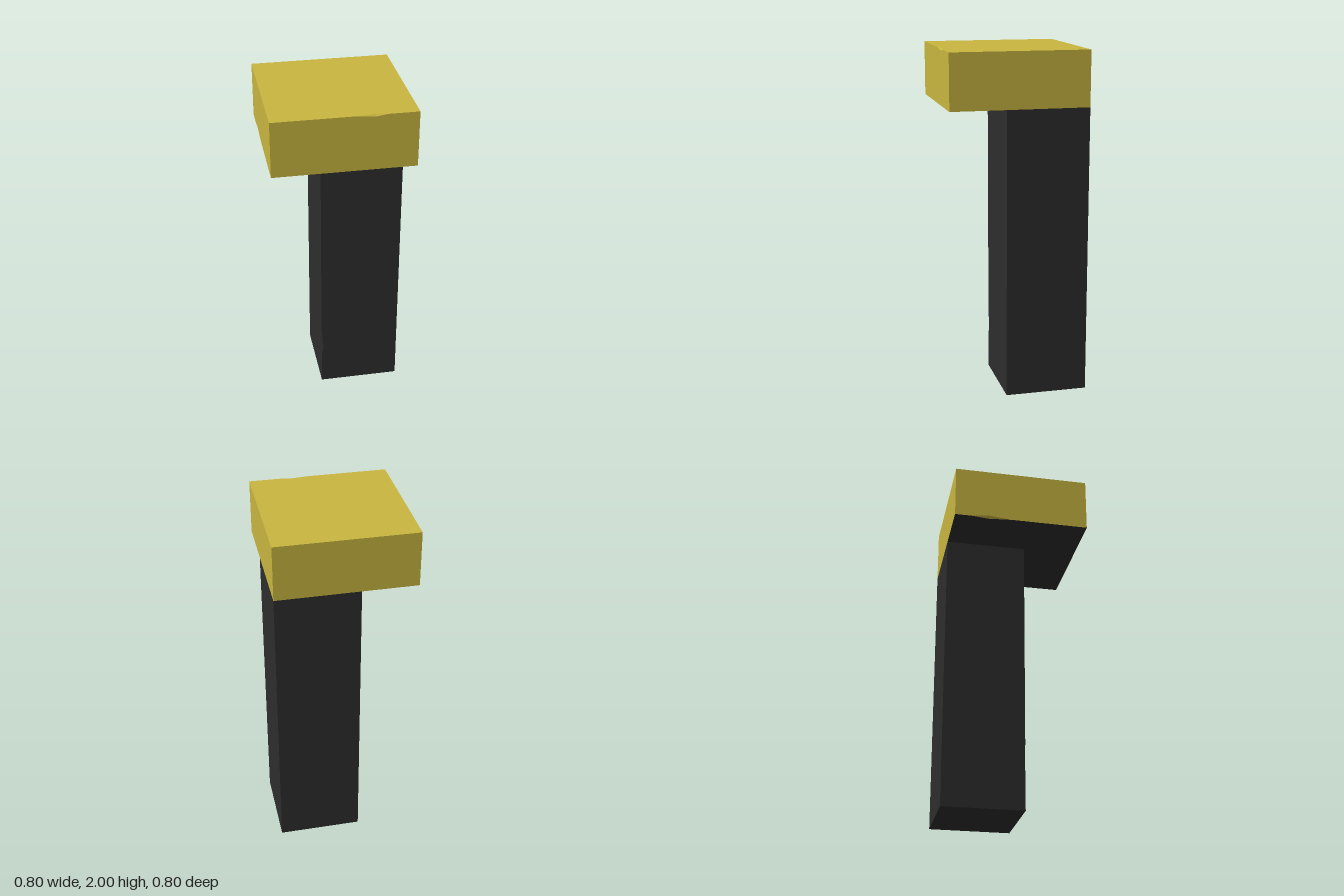
import * as THREE from 'three';

const yellow = new THREE.MeshStandardMaterial({ name: 'mustard yellow', color: 0xc9b640 });
const dark = new THREE.MeshStandardMaterial({ name: 'charcoal', color: 0x2d2d2d });

// A w x h block lofted along local z. Each station is [z, chip], where chip
// bevels the (w, h) corner. darkSide is the index of the charcoal side.
function chippedBlock(w, h, stations, { darkSide = -1, startCap = true, endCap = true } = {}) {
  const rings = stations.map(([z, d]) =>
    [[0, 0], [w, 0], [w, h - d], [w - d, h], [0, h]].map(([x, y]) => new THREE.Vector3(x, y, z)));
  const lists = [[], []];
  const tri = (list, a, b, c) => {
    if (new THREE.Triangle(a, b, c).getArea() < 1e-8) return;
    for (const p of [a, b, c]) list.push(p.x, p.y, p.z);
  };
  for (let s = 0; s < rings.length - 1; s++) {
    const p = rings[s], q = rings[s + 1];
    for (let i = 0; i < 5; i++) {
      const j = (i + 1) % 5;
      const list = lists[i === darkSide ? 1 : 0];
      tri(list, p[i], p[j], q[j]);
      tri(list, p[i], q[j], q[i]);
    }
  }
  const first = rings[0], last = rings[rings.length - 1];
  for (let i = 1; i < 4; i++) {
    if (startCap) tri(lists[0], first[0], first[i + 1], first[i]);
    if (endCap) tri(lists[0], last[0], last[i], last[i + 1]);
  }
  const geometry = new THREE.BufferGeometry();
  geometry.setAttribute('position', new THREE.Float32BufferAttribute([...lists[0], ...lists[1]], 3));
  geometry.addGroup(0, lists[0].length / 3, 0);
  geometry.addGroup(lists[0].length / 3, lists[1].length / 3, 1);
  return geometry;
}

// Places a block by its local axes and origin
function place(geometry, x, y, z, origin) {
  const m = new THREE.Matrix4().makeBasis(
    new THREE.Vector3(...x), new THREE.Vector3(...y), new THREE.Vector3(...z));
  geometry.applyMatrix4(m.setPosition(...origin));
  geometry.computeVertexNormals();
  return geometry;
}

export function createModel() {
  const model = new THREE.Group();
  model.name = 'cappedPost';
  const add = (name, geometry, materials) => {
    const mesh = new THREE.Mesh(geometry, materials);
    mesh.name = name;
    model.add(mesh);
  };

  // Square post, chipped low on its front right edge
  add('post', place(
    chippedBlock(0.48, 0.48, [[0, 0], [0.2, 0], [0.27, 0.012], [0.4, 0], [1.68, 0]]),
    [-1, 0, 0], [0, 0, 1], [0, 1, 0], [0.4, 0, -0.4]), [dark, dark]);

  // Front half of the cap, chipped on the top front edge
  add('capFront', place(
    chippedBlock(0.32, 0.4, [[0, 0], [0.46, 0], [0.56, 0.01], [0.63, 0], [0.8, 0]], { darkSide: 4 }),
    [0, 1, 0], [0, 0, 1], [1, 0, 0], [-0.4, 1.68, 0]), [yellow, dark]);

  // Back half of the cap, chipped on the bottom side edge
  add('capBack', place(
    chippedBlock(0.8, 0.32, [[0, 0], [0.1, 0], [0.2, 0.014], [0.34, 0], [0.4, 0]],
      { darkSide: 3, endCap: false }),
    [-1, 0, 0], [0, -1, 0], [0, 0, 1], [0.4, 2, -0.4]), [yellow, dark]);

  return model;
}
